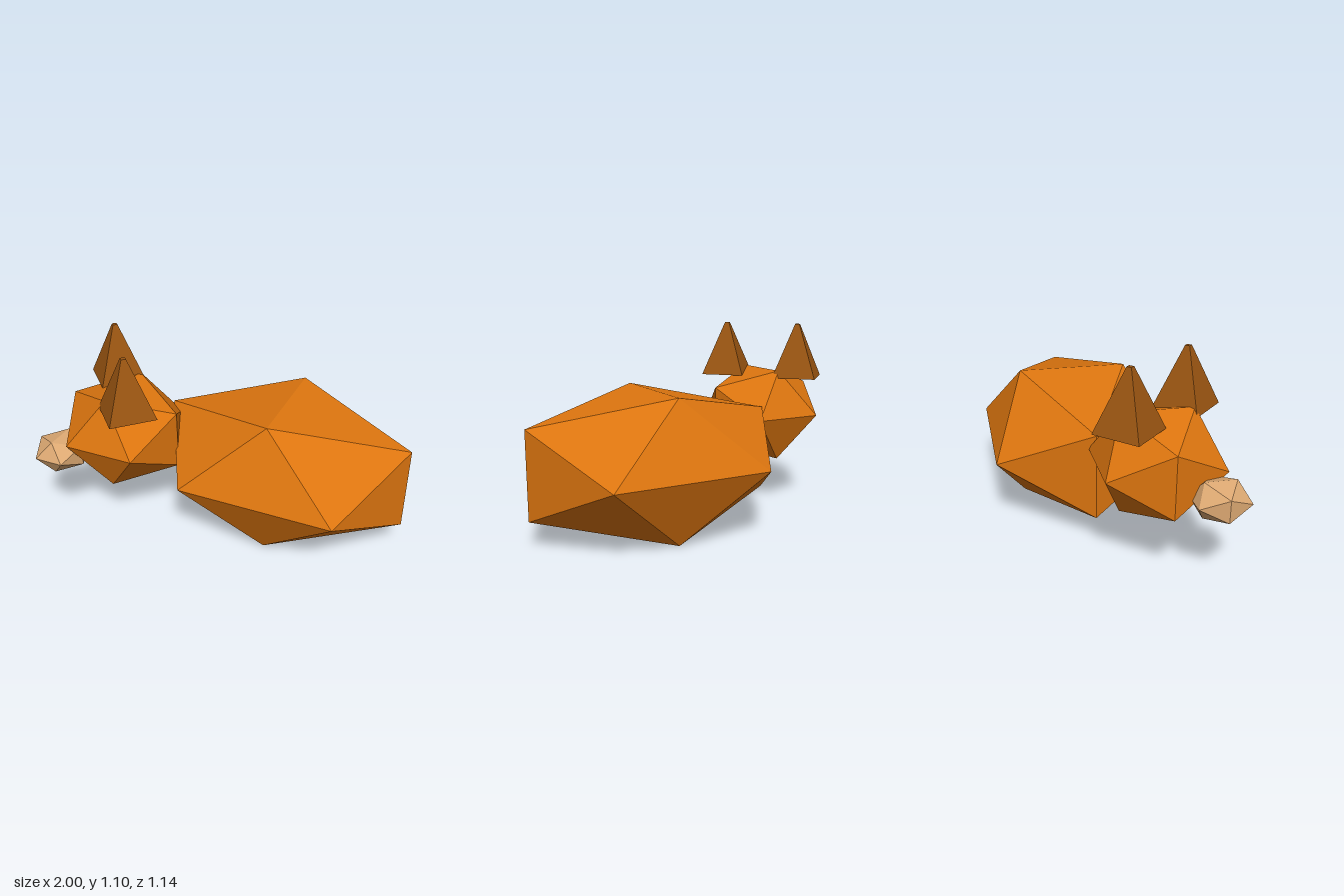
import * as THREE from 'three';

const paint = (name, color) => {
  const m = new THREE.MeshStandardMaterial({ color, flatShading: true });
  m.name = name;
  return m;
};

export function createModel() {
  const group = new THREE.Group();
  group.name = 'sleepingAnimal';
  const orange = paint('orange fur', 0xdc750f);
  const brown = paint('brown ear', 0x9a5511);
  const tan = paint('tan snout', 0xdca872);

  const add = (name, geometry, material, position) => {
    const mesh = new THREE.Mesh(geometry, material);
    mesh.name = name;
    mesh.position.set(...position);
    group.add(mesh);
  };

  // Faceted blob: icosahedron with unit half extents, stretched to the given half sizes
  const blob = (hx, hy, hz) =>
    new THREE.IcosahedronGeometry(1.17557, 0).rotateY(Math.PI / 2).scale(hx, hy, hz);

  add('body', blob(0.7, 0.389, 0.502), orange, [0.3, 0.389, -0.069]);
  add('head', blob(0.328, 0.271, 0.308), orange, [-0.57, 0.55, 0.203]);
  add('snout', blob(0.135, 0.096, 0.135), tan, [-0.865, 0.459, 0.434]);

  // Four-sided ears with blunt tips
  const ear = new THREE.CylinderGeometry(0.018, 0.181, 0.319, 4);
  add('rightEar', ear, brown, [-0.708, 0.938, 0.022]);
  add('leftEar', ear, brown, [-0.434, 0.938, 0.389]);

  return group;
}
